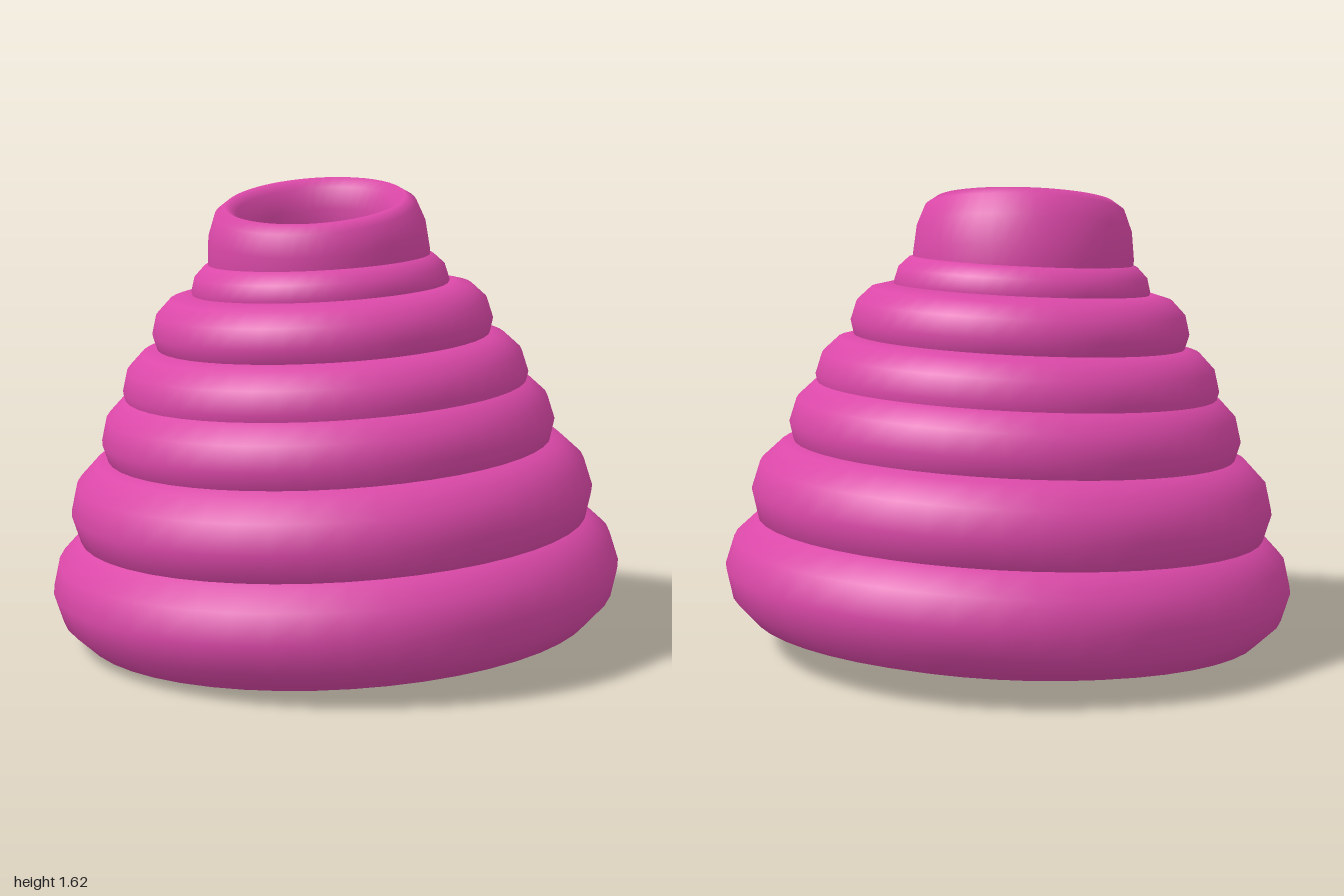
import * as THREE from 'three';

// Stacked ring toy: soft rings of shrinking size on one slightly leaning axis
export function createModel() {
  const group = new THREE.Group();
  group.name = 'ringStack';
  const material = new THREE.MeshStandardMaterial({ color: 0xdb48a8 });

  const LEAN_X = 0.025; // lean toward the front
  const LEAN_Z = 0.05;  // lean toward the right side
  const BASE_Y = 0.25;

  function addRing(name, y, outer, tube, tubeHeight = tube, tilt = LEAN_X) {
    const geometry = new THREE.TorusGeometry(outer - tube, tube, 12, 48);
    geometry.rotateX(Math.PI / 2);
    geometry.scale(1, tubeHeight / tube, 1);
    const ring = new THREE.Mesh(geometry, material);
    ring.name = name;
    ring.rotation.set(tilt, 0, LEAN_Z);
    ring.position.set(-LEAN_Z * (y - BASE_Y), y, LEAN_X * (y - BASE_Y));
    group.add(ring);
  }

  // height of centre, outer radius, tube radius
  const rings = [
    [0.25, 1.0, 0.2],
    [0.52, 0.918, 0.195],
    [0.762, 0.795, 0.165],
    [0.932, 0.71, 0.15],
    [1.125, 0.595, 0.135],
    [1.265, 0.45, 0.1],
  ];
  rings.forEach(([y, outer, tube], i) => addRing(`ring${i + 1}`, y, outer, tube));

  // Tall, thin collar tipped further forward
  addRing('topCollar', 1.365, 0.387, 0.075, 0.2, 0.2);

  return group;
}
